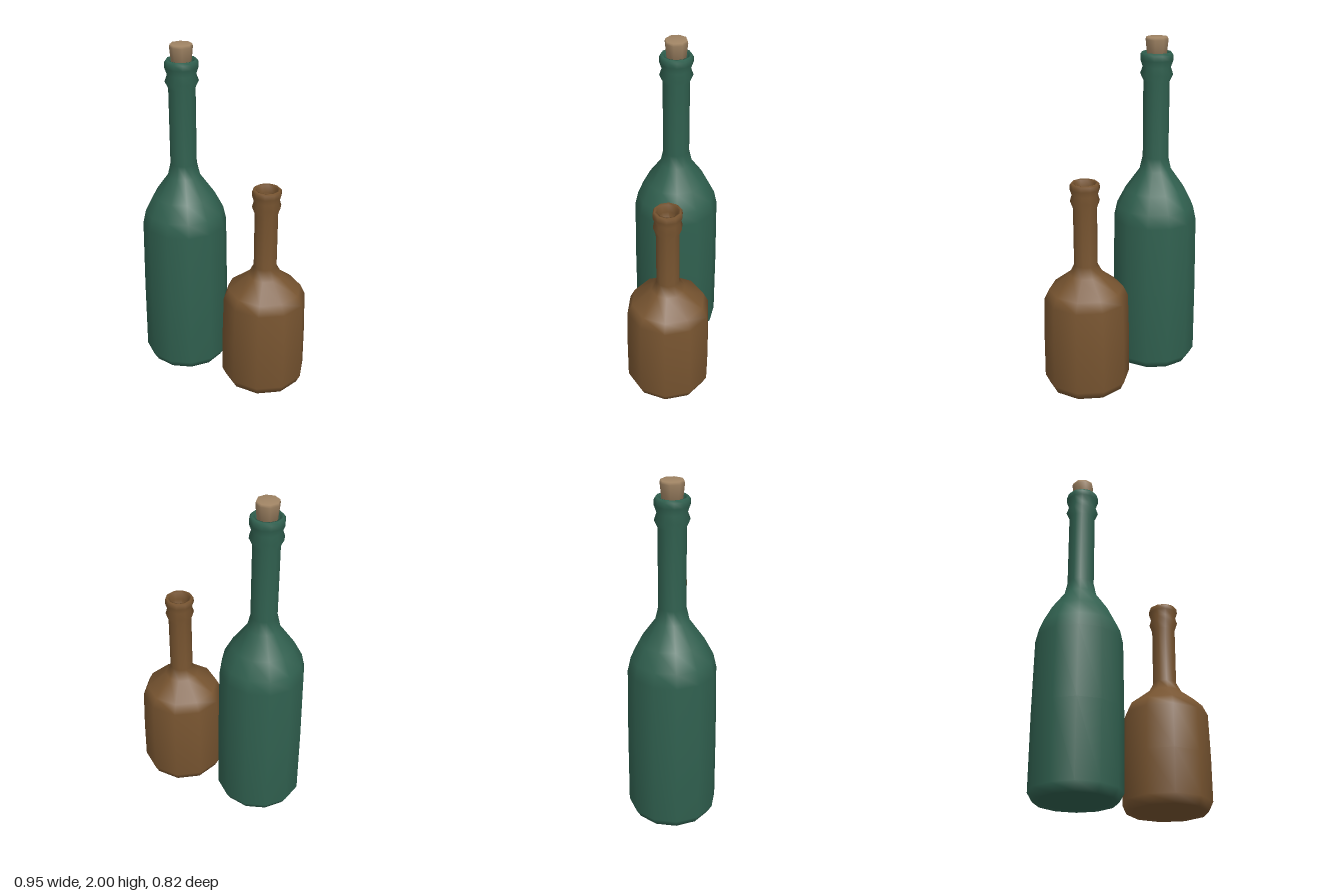
import * as THREE from 'three';

const flat = (name, color) => {
  const m = new THREE.MeshStandardMaterial({ color });
  m.name = name;
  return m;
};

// Smooth-shaded turned part; phiStart puts a corner on the +x axis
function turned(name, profile, sides, material) {
  const points = profile.map(([r, y]) => new THREE.Vector2(r, y));
  const mesh = new THREE.Mesh(new THREE.LatheGeometry(points, sides, Math.PI / 2), material);
  mesh.name = name;
  return mesh;
}

export function createModel() {
  const greenGlass = flat('green glass', 0x30604f);
  const brownGlass = flat('brown glass', 0x775430);
  const corkMaterial = flat('cork', 0xa08464);

  const model = new THREE.Group();
  model.name = 'bottles';

  // Tall corked bottle: base, body, shoulder, neck, ringed lip, mouth
  const tall = new THREE.Group();
  tall.name = 'tallBottle';
  tall.position.set(-0.217, 0, -0.155);
  tall.add(turned('tallGlass', [
    [0, 0.01], [0.19, 0.01], [0.228, 0], [0.257, 0.05], [0.256, 0.5], [0.25, 0.92],
    [0.232, 1.0], [0.18, 1.1], [0.095, 1.22], [0.077, 1.3], [0.077, 1.75],
    [0.096, 1.79], [0.082, 1.83], [0.096, 1.87], [0.096, 1.9], [0.085, 1.915],
    [0.068, 1.91], [0.058, 1.87], [0, 1.86],
  ], 12, greenGlass));

  // Tapered cork stopper
  tall.add(turned('cork', [
    [0, 1.87], [0.054, 1.87], [0.066, 1.985], [0.062, 2.0], [0, 2.0],
  ], 8, corkMaterial));

  // Short open bottle
  const short = new THREE.Group();
  short.name = 'shortBottle';
  short.position.set(0.22, 0, 0.17);
  short.add(turned('shortGlass', [
    [0, 0.01], [0.19, 0.01], [0.228, 0], [0.252, 0.05], [0.251, 0.3], [0.244, 0.55],
    [0.215, 0.61], [0.1, 0.7], [0.068, 0.76], [0.068, 1.1],
    [0.084, 1.145], [0.074, 1.18], [0.085, 1.215], [0.084, 1.24], [0.075, 1.25],
    [0.06, 1.245], [0.056, 1.2], [0.052, 1.12], [0, 1.11],
  ], 10, brownGlass));

  model.add(tall, short);
  return model;
}
